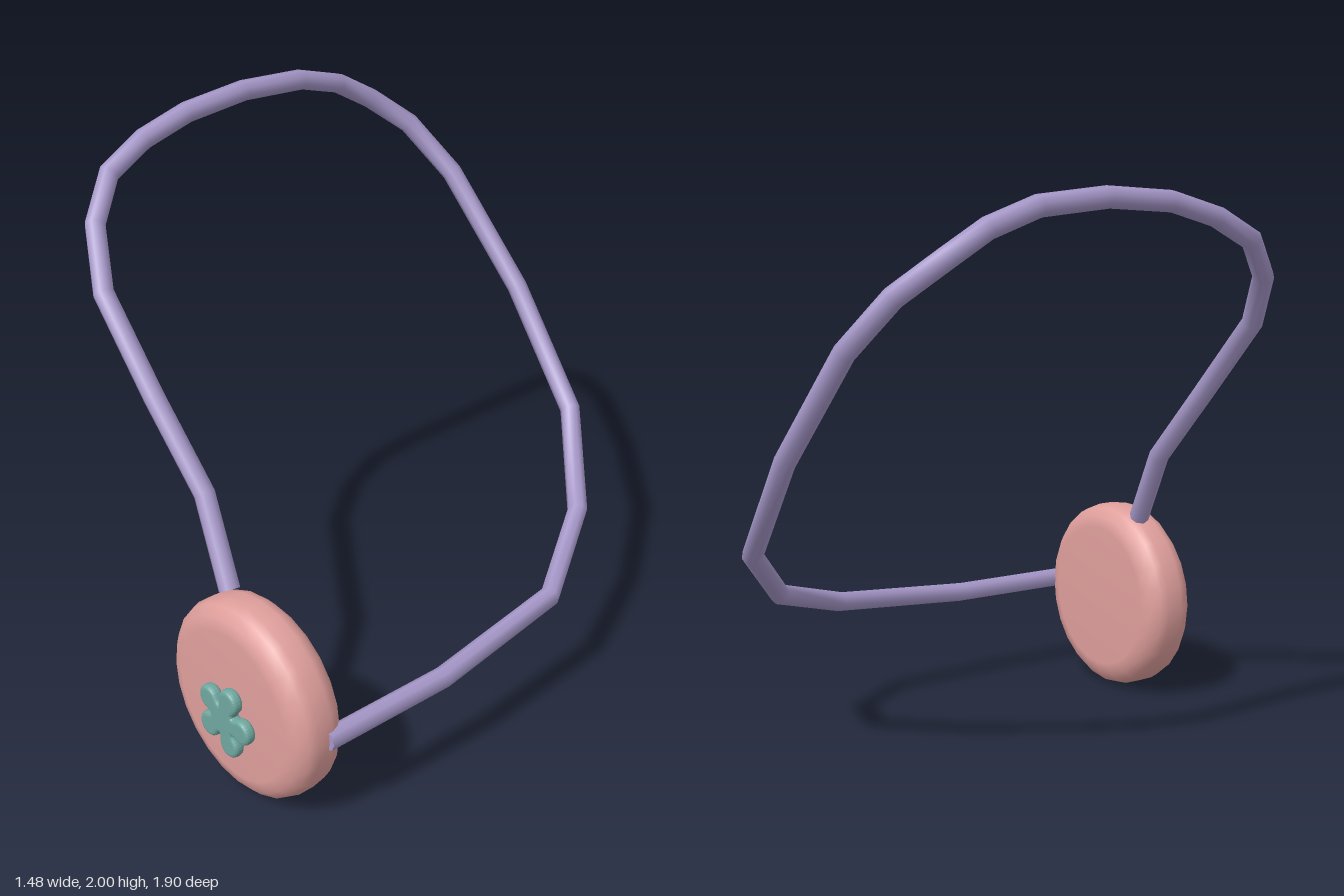
import * as THREE from 'three';

const strapRadius = 0.037;
const strapPoints = [
  [0.215, 0.69, 0.785], [0.04, 0.96, 0.74], [-0.2, 1.225, 0.75], [-0.47, 1.505, 0.74],
  [-0.62, 1.68, 0.655], [-0.695, 1.81, 0.535], [-0.705, 1.89, 0.38], [-0.695, 1.945, 0.2],
  [-0.695, 1.965, -0.05], [-0.695, 1.945, -0.31], [-0.705, 1.885, -0.5], [-0.695, 1.795, -0.65],
  [-0.62, 1.685, -0.78], [-0.47, 1.51, -0.865], [-0.15, 1.13, -0.91], [0.19, 0.755, -0.865],
  [0.46, 0.53, -0.63], [0.66, 0.41, -0.28], [0.705, 0.36, 0.28], [0.70, 0.36, 0.79],
].map((p) => new THREE.Vector3(...p));

// A path that steps exactly through its points, with mitred bends
class PointPath extends THREE.Curve {
  constructor(points) {
    super();
    this.points = points;
  }
  getPointAt(u, target = new THREE.Vector3()) {
    return target.copy(this.points[Math.round(u * (this.points.length - 1))]);
  }
  getTangentAt(u, target = new THREE.Vector3()) {
    const p = this.points;
    const i = Math.round(u * (p.length - 1));
    const step = (a, b) => p[b].clone().sub(p[a]).normalize();
    target.set(0, 0, 0);
    if (i > 0) target.add(step(i - 1, i));
    if (i < p.length - 1) target.add(step(i, i + 1));
    return target.normalize();
  }
}

function addMesh(parent, name, geometry, material) {
  const mesh = new THREE.Mesh(geometry, material);
  mesh.name = name;
  parent.add(mesh);
  return mesh;
}

// Five round petals joined by soft notches
function flowerShape(distance, radius) {
  const shape = new THREE.Shape();
  const sweep = THREE.MathUtils.degToRad(115);
  for (let i = 0; i < 5; i++) {
    const a = (i * Math.PI * 2) / 5;
    const notch = a - Math.PI / 5;
    const cx = distance * Math.cos(a);
    const cy = distance * Math.sin(a);
    if (i > 0) {
      shape.quadraticCurveTo(
        0.042 * Math.cos(notch), 0.042 * Math.sin(notch),
        cx + radius * Math.cos(a - sweep), cy + radius * Math.sin(a - sweep));
    }
    shape.absarc(cx, cy, radius, a - sweep, a + sweep, false);
  }
  const last = -Math.PI / 5;
  shape.quadraticCurveTo(
    0.042 * Math.cos(last), 0.042 * Math.sin(last),
    distance + radius * Math.cos(sweep), -radius * Math.sin(sweep));
  return shape;
}

export function createModel() {
  const model = new THREE.Group();
  model.name = 'roundBag';
  const pink = new THREE.MeshStandardMaterial({ color: 0xdf9f9c });
  const purple = new THREE.MeshStandardMaterial({ color: 0xa597c8 });
  const teal = new THREE.MeshStandardMaterial({ color: 0x6fa79f });

  // Round body with softened rims
  const profile = [
    [0, -0.103], [0.27, -0.103], [0.315, -0.09], [0.345, -0.062], [0.355, -0.03],
    [0.355, 0.03], [0.345, 0.062], [0.315, 0.09], [0.27, 0.103], [0, 0.103],
  ].map(([r, h]) => new THREE.Vector2(r, h));
  const bodyGeometry = new THREE.LatheGeometry(profile, 24).rotateX(Math.PI / 2);
  addMesh(model, 'body', bodyGeometry, pink).position.set(0.36, 0.36, 0.803);

  // Flower ornament on the front
  const flowerGeometry = new THREE.ExtrudeGeometry(flowerShape(0.09, 0.045), {
    depth: 0.012, bevelThickness: 0.014, bevelSize: 0.014, bevelOffset: -0.014,
    bevelSegments: 3, curveSegments: 8,
  });
  addMesh(model, 'flower', flowerGeometry, teal).position.set(0.36, 0.322, 0.924);

  // Long looping strap with closed ends
  const strap = new THREE.Group();
  strap.name = 'strap';
  model.add(strap);
  const path = new PointPath(strapPoints);
  addMesh(strap, 'strapLoop',
    new THREE.TubeGeometry(path, strapPoints.length - 1, strapRadius, 8), purple);
  for (const [u, sign] of [[0, -1], [1, 1]]) {
    const end = path.getPointAt(u);
    const cap = addMesh(strap, 'strapEnd', new THREE.CircleGeometry(strapRadius, 8), purple);
    cap.position.copy(end);
    cap.lookAt(end.clone().addScaledVector(path.getTangentAt(u), sign));
  }
  return model;
}
